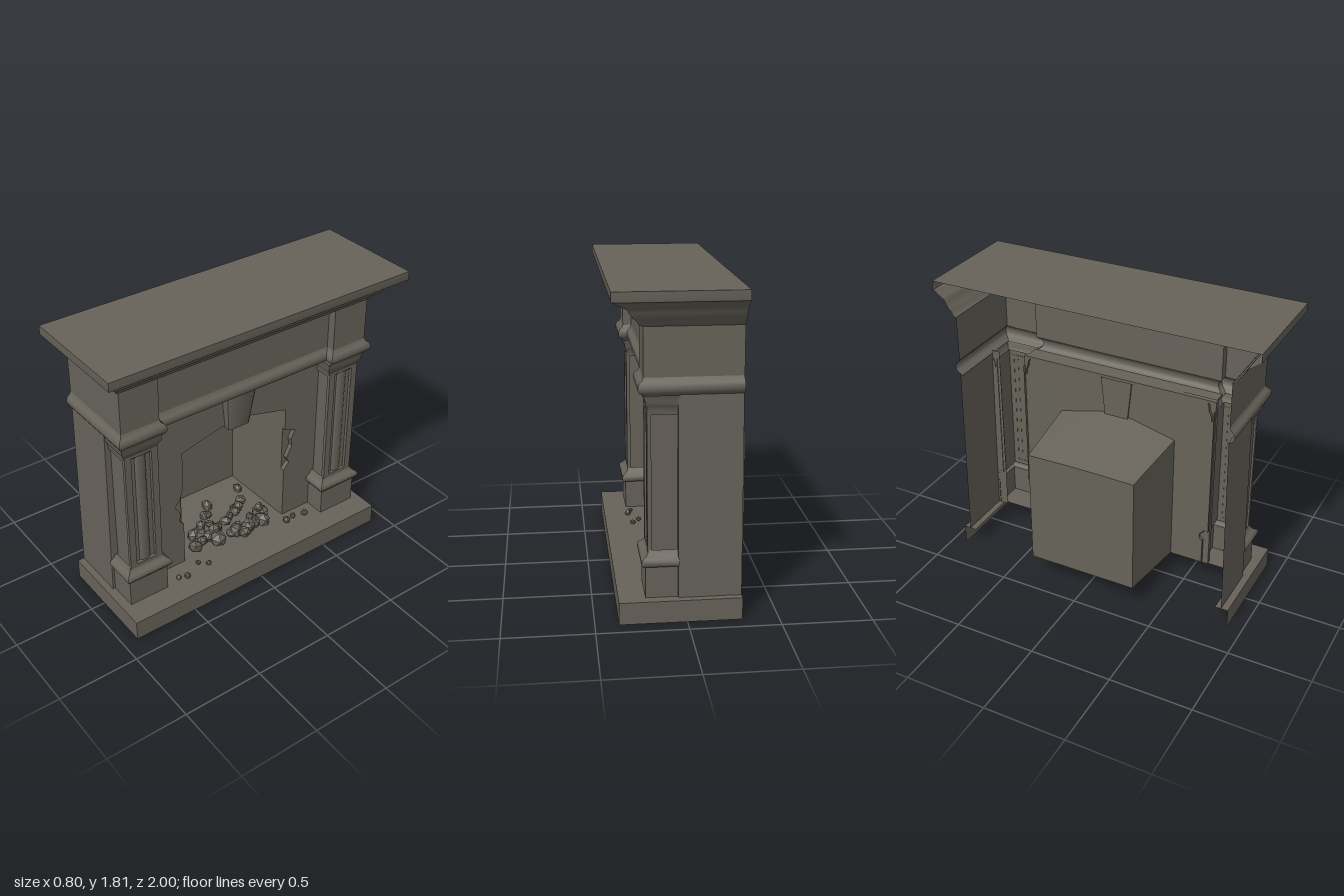
import * as THREE from 'three';
import { toCreasedNormals } from 'three/addons/utils/BufferGeometryUtils.js';

const BACK = -0.3;
const stone = new THREE.MeshStandardMaterial({ color: 0x67635a, side: THREE.DoubleSide });
stone.name = 'grey brown stone';

function part(parent, name, geometry) {
  const mesh = new THREE.Mesh(geometry, stone);
  mesh.name = name;
  parent.add(mesh);
  return mesh;
}

// Skin a series of rings, each a list of [x, y, z] points
function loft(rings, closed = false, crease = 0.7) {
  const pos = [];
  for (let i = 0; i < rings.length - 1; i++) {
    const a = rings[i], b = rings[i + 1], n = a.length;
    for (let j = 0; j < (closed ? n : n - 1); j++) {
      const k = (j + 1) % n;
      pos.push(...a[j], ...a[k], ...b[k], ...a[j], ...b[k], ...b[j]);
    }
  }
  const g = new THREE.BufferGeometry();
  g.setAttribute('position', new THREE.Float32BufferAttribute(pos, 3));
  return toCreasedNormals(g, crease);
}

// Sweep a [offset, y] profile around a plan that returns [x, z] points
const sweep = (profile, plan) =>
  loft(profile.map(([d, y]) => plan(d).map(([x, z]) => [x, y, z])));

// U-shaped plan, open at the back
const uPlan = (front, half, k = 1) => (d) => [
  [BACK, half + d * k], [front + d, half + d * k],
  [front + d, -half - d * k], [BACK, -half - d * k],
];

// U-shaped plan whose middle is set back between two end blocks
const blockPlan = (front, half, inner, middle) => (d) => [
  [BACK, half + d], [front + d, half + d], [front + d, inner - d], [middle + d, inner - d],
  [middle + d, -inner + d], [front + d, -inner + d], [front + d, -half - d], [BACK, -half - d],
];

// Shape lying in the front plane, its x running along -z
const shapeOf = (pts) => new THREE.Shape(pts.map(([x, y]) => new THREE.Vector2(x, y)));
const facing = (g, x) => g.rotateY(Math.PI / 2).translate(x, 0, 0);

function pilaster(side) {
  const g = new THREE.Group();
  g.name = side > 0 ? 'leftPilaster' : 'rightPilaster';
  const plan = (d) => [
    [0.04, side * (0.83 + d)], [0.2 + d, side * (0.83 + d)],
    [0.2 + d, side * (0.615 - d)], [0.04, side * (0.615 - d)],
  ];
  part(g, 'pilasterBase', sweep([
    [0.022, 0.125], [0.022, 0.3], [0.035, 0.305], [0.044, 0.32], [0.044, 0.335],
    [0.034, 0.35], [0.02, 0.358], [0.008, 0.375], [0, 0.39],
  ], plan));
  part(g, 'pilasterShaft', sweep([
    [-0.012, 0.37], [-0.012, 1.2],
  ], plan));
  part(g, 'pilasterCapital', sweep([
    [0, 1.14], [0.003, 1.17], [0.012, 1.19], [0.018, 1.2], [0.02, 1.225], [0.03, 1.25],
  ], plan));
  // Raised frame around the sunken panel
  const c = side * -0.722;
  const frame = shapeOf([[c - 0.107, 0.37], [c + 0.107, 0.37], [c + 0.107, 1.17], [c - 0.107, 1.17]]);
  frame.holes.push(shapeOf([[c - 0.065, 0.4], [c - 0.065, 1.15], [c + 0.065, 1.15], [c + 0.065, 0.4]]));
  part(g, 'pilasterFrame', facing(
    new THREE.ExtrudeGeometry(frame, { depth: 0.022, bevelEnabled: false }), 0.186));
  // Upright reed inside the panel
  part(g, 'pilasterReed', new THREE.CylinderGeometry(0.035, 0.035, 0.74, 12, 1, false, 0, Math.PI)
    .scale(0.5, 1, 1).translate(0.187, 0.775, -c));
  return g;
}

function rocks() {
  const g = new THREE.Group();
  g.name = 'coals';
  let seed = 7;
  const rnd = () => (seed = (seed * 16807) % 2147483647) / 2147483647;
  const add = (x, y, z, r) => {
    const geo = new THREE.IcosahedronGeometry(r, 0);
    const sx = 0.75 + rnd() * 0.4, sy = 0.75 + rnd() * 0.5, sz = 0.8 + rnd() * 0.5;
    geo.scale(sx, sy, sz).rotateX(rnd() * 3).rotateY(rnd() * 6);
    geo.computeVertexNormals();
    part(g, 'coal', geo).position.set(x, y, z);
  };
  // Bottom layer, top layer and loose pieces
  for (let i = 0; i < 26; i++) {
    add(-0.27 + rnd() * 0.38, 0.15, -0.31 + (i + rnd()) / 26 * 0.58, 0.028 + rnd() * 0.022);
  }
  for (let i = 0; i < 9; i++) {
    add(-0.12 + rnd() * 0.18, 0.195, -0.25 + i * 0.051, 0.03 + rnd() * 0.012);
  }
  for (const [x, z] of [[0.17, -0.5], [0.15, -0.42], [0.16, -0.36], [0.2, 0.5], [0.22, 0.45], [0.16, 0.33], [0.2, 0.28]]) {
    add(x, 0.135, z, 0.014 + rnd() * 0.01);
  }
  return g;
}

export function createModel() {
  const model = new THREE.Group();
  model.name = 'fireplace';

  // Hearth: skirt and top ledge, hollow below
  part(model, 'hearthSkirt', sweep([[0, 0], [0, 0.125]], uPlan(0.37, 0.91)));
  part(model, 'hearthTop', loft([
    uPlan(0.37, 0.91)(0).map(([x, z]) => [x, 0.125, z]),
    uPlan(0.06, 0.83)(0).map(([x, z]) => [x, 0.125, z]),
  ]));

  for (const s of [1, -1]) {
    // Side wall, leaning in slightly, with a return to the pilaster
    part(model, s > 0 ? 'leftWall' : 'rightWall', loft([[0.125, 0.868], [1.25, 0.852]].map(
      ([y, z]) => [[BACK, y, s * z], [0.045, y, s * z], [0.045, y, s * 0.8]])));
    model.add(pilaster(s));
  }

  // Moulding and frieze stepping around the end blocks
  part(model, 'friezeMoulding', sweep([
    [-0.012, 1.24], [0.006, 1.255], [0.022, 1.265], [0.03, 1.28], [0.03, 1.3],
    [0.022, 1.318], [0.008, 1.328], [0, 1.345],
  ], blockPlan(0.228, 0.852, 0.61, 0.175)));
  part(model, 'frieze', sweep([[0, 1.34], [0, 1.615]], blockPlan(0.228, 0.852, 0.61, 0.175)));
  part(model, 'friezeSoffit', new THREE.BoxGeometry(0.1, 0.012, 1.24).translate(0.12, 1.25, 0));
  part(model, 'corniceSoffit', new THREE.BoxGeometry(0.07, 0.006, 1.24).translate(0.195, 1.613, 0));

  // Cornice and mantel shelf
  part(model, 'cornice', sweep([
    [0, 1.61], [0.022, 1.622], [0.035, 1.645], [0.055, 1.66], [0.075, 1.69], [0.085, 1.71],
    [0.105, 1.72], [0.135, 1.738], [0.15, 1.75], [0.168, 1.757], [0.17, 1.765], [0.17, 1.812],
  ], uPlan(0.228, 0.852, 0.87)));
  part(model, 'mantelTop', new THREE.PlaneGeometry(0.698, 2)
    .rotateX(-Math.PI / 2).translate(0.049, 1.812, 0));

  // Surround with chipped opening edges, backed by an unbroken plate
  const outer = [[-0.63, 0.12], [0.63, 0.12], [0.63, 1.26], [-0.63, 1.26]];
  const opening = [[-0.38, 0.12], [-0.38, 0.94], [-0.1, 1.01], [0.1, 1.01], [0.38, 0.94], [0.38, 0.12]];
  const chipped = [
    [-0.38, 0.125], [-0.38, 0.42], [-0.41, 0.45], [-0.4, 0.51], [-0.44, 0.57], [-0.4, 0.62], [-0.38, 0.7],
    [-0.38, 0.94], [-0.1, 1.01], [0.1, 1.01], [0.38, 0.94],
    [0.38, 0.79], [0.46, 0.76], [0.43, 0.7], [0.44, 0.65], [0.4, 0.57], [0.42, 0.53], [0.38, 0.48], [0.38, 0.125],
  ];
  const front = shapeOf([...outer.slice(2), [-0.63, 0.12], ...chipped, [0.63, 0.12]]);
  part(model, 'surround', facing(
    new THREE.ExtrudeGeometry(front, { depth: 0.03, bevelEnabled: false }), 0.06));
  const plate = shapeOf([...outer.slice(2), [-0.63, 0.12], ...opening, [0.63, 0.12]]);
  part(model, 'surroundBacking', facing(new THREE.ShapeGeometry(plate), 0.06));

  // Keystone, tapering downwards and leaning forward at the top
  const keystone = [[1.0, 0.075, 0.135], [1.25, 0.1, 0.165]].map(
    ([y, z, x]) => [[0.05, y, z], [x - 0.012, y, z], [x, y, z - 0.015], [x, y, -z + 0.015], [x - 0.012, y, -z], [0.05, y, -z]]);
  part(model, 'keystone', loft(keystone, true));
  part(model, 'keystoneBase', new THREE.BoxGeometry(0.075, 0.008, 0.14).translate(0.09, 1.002, 0));

  // Firebox narrowing towards its back
  const boxRing = (x, z, floor, spring, crown) => [
    [x, floor, z], [x, spring, z], [x, crown, 0.1], [x, crown, -0.1], [x, spring, -z], [x, floor, -z],
  ];
  part(model, 'firebox', loft([
    boxRing(0.065, 0.38, 0.122, 0.94, 1.01),
    boxRing(BACK, 0.35, 0.146, 0.9, 0.915),
    boxRing(-0.4, 0.342, 0.153, 0.885, 0.89),
  ], true));
  const rear = boxRing(-0.4, 0.342, 0.153, 0.885, 0.89).map(([, y, z]) => [-z, y]);
  part(model, 'fireboxBack', facing(new THREE.ShapeGeometry(shapeOf(rear)), -0.4));

  model.add(rocks());
  return model;
}
